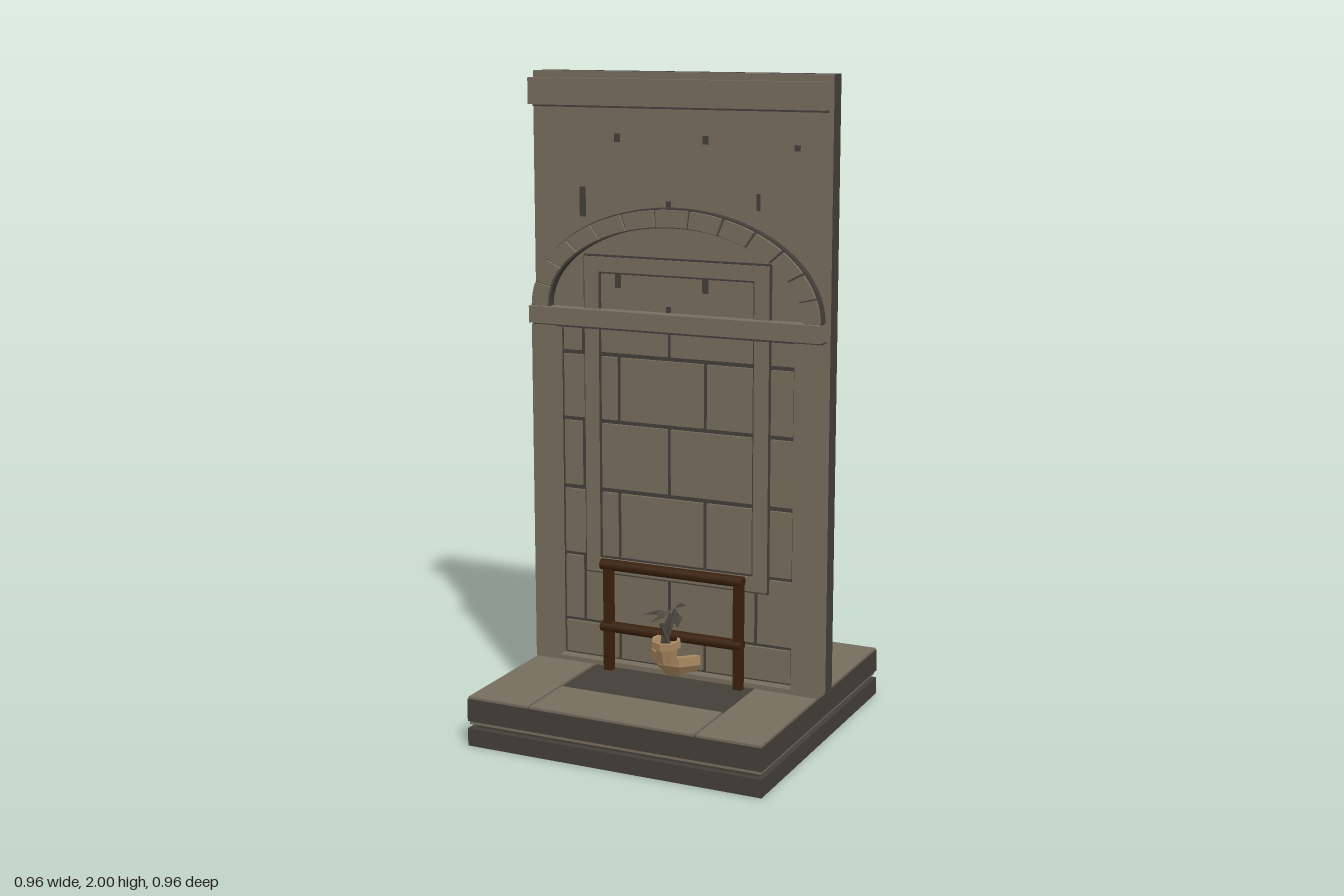
import * as THREE from 'three';

const mat = (name, color, extra = {}) => {
  const m = new THREE.MeshStandardMaterial({ color, ...extra });
  m.name = name;
  return m;
};

export function createModel() {
  const root = new THREE.Group();
  root.name = 'archedWallDisplay';
  const stone = mat('stone', 0x766d5c);
  const dark = mat('darkMortar', 0x433e38);
  const wood = mat('wood', 0x3a200c);
  const clay = mat('clay', 0xa98860, { flatShading: true });
  const leafMat = mat('leaf', 0x454239, { flatShading: true, side: THREE.DoubleSide });

  const add = (name, geo, material, parent = root) => {
    const m = new THREE.Mesh(geo, material);
    m.name = name;
    parent.add(m);
    return m;
  };
  // Box given by its limits on each axis
  const box = (name, material, x0, x1, y0, y1, z0, z1, parent) => {
    const m = add(name, new THREE.BoxGeometry(x1 - x0, y1 - y0, z1 - z0), material, parent);
    m.position.set((x0 + x1) / 2, (y0 + y1) / 2, (z0 + z1) / 2);
    return m;
  };

  // Plinth: two dark slabs separated by a recessed seam, with paving on top
  box('lowerSlab', dark, -0.48, 0.48, 0, 0.055, -0.48, 0.48);
  box('seam', dark, -0.46, 0.46, 0.055, 0.07, -0.46, 0.46);
  box('seamTrim', stone, -0.475, 0.475, 0.068, 0.078, -0.475, 0.475);
  box('upperSlab', dark, -0.48, 0.48, 0.078, 0.148, -0.48, 0.48);
  for (const s of [-1, 1]) {
    const a = s * 0.376, b = s * 0.3765;
    box('sidePaving', stone, a - 0.101, a + 0.101, 0.148, 0.155, -0.477, 0.477);
    box('endPaving', stone, -0.267, 0.267, 0.148, 0.155, b - 0.1005, b + 0.1005);
  }

  // Wall: dark backing, stone layer and the raised panel behind
  box('wallBack', dark, -0.48, 0.48, 0.15, 2, -0.07, -0.015);
  box('wallCore', stone, -0.48, 0.48, 0.15, 2, -0.015, 0.012);
  box('mortar', dark, -0.4, 0.4, 0.155, 1.29, 0.012, 0.015);
  box('backPanel', dark, -0.28, 0.28, 0.48, 1.41, -0.08, -0.07);
  box('plaster', stone, -0.48, 0.48, 1.285, 2, 0.012, 0.023);
  box('topBeam', stone, -0.48, 0.48, 1.9, 1.98, 0.023, 0.058);
  box('topBeamShadowLine', dark, -0.48, 0.48, 1.893, 1.9, 0.023, 0.027);
  box('skirting', stone, -0.48, 0.48, 0.155, 0.17, 0.012, 0.05);

  // Running-bond blocks
  const rows = [[0.178, 0.28], [0.292, 0.495], [0.507, 0.71], [0.725, 0.928], [0.942, 1.138], [1.152, 1.285]];
  rows.forEach(([y0, y1], r) => {
    const joints = r % 2 ? [-0.39, -0.318, -0.025, 0.265, 0.39] : [-0.39, -0.195, 0.095, 0.385];
    for (let i = 0; i < joints.length - 1; i++) {
      box('block', stone, joints[i] + 0.007, joints[i + 1] - 0.007, y0, y1, 0.015, 0.025);
    }
  });

  // Exposed joints in the plaster
  for (const [x, y, w, h] of [
    [-0.195, 1.805, 0.018, 0.025], [0.095, 1.805, 0.018, 0.025], [0.385, 1.79, 0.018, 0.018],
    [-0.313, 1.61, 0.02, 0.09], [-0.025, 1.612, 0.015, 0.02], [0.265, 1.63, 0.012, 0.05],
    [-0.195, 1.375, 0.02, 0.045], [0.095, 1.375, 0.02, 0.045], [-0.025, 1.295, 0.015, 0.02],
  ]) box('exposedJoint', dark, x - w / 2, x + w / 2, y - h / 2, y + h / 2, 0.022, 0.025);

  // Rectangular moulding around the blocks, edged by a dark reveal
  const frame = (name, material, hw, y0, y1, t, z) => {
    const s = new THREE.Shape([[-hw, y0], [hw, y0], [hw, y1], [-hw, y1]].map(p => new THREE.Vector2(...p)));
    const w = hw - t;
    s.holes.push(new THREE.Path([[-w, y0 + t], [-w, y1 - t], [w, y1 - t], [w, y0 + t]].map(p => new THREE.Vector2(...p))));
    add(name, new THREE.ExtrudeGeometry(s, { depth: z - 0.012, bevelEnabled: false }), material).position.z = 0.012;
  };
  frame('frameReveal', dark, 0.31, 0.45, 1.452, 0.057, 0.029);
  frame('frame', stone, 0.304, 0.456, 1.446, 0.045, 0.036);

  // Pilasters and lintel
  for (const s of [-1, 1]) {
    const x = s * 0.437;
    box('pilaster', stone, x - 0.043, x + 0.043, 0.155, 1.228, 0.012, 0.052);
  }
  box('lintelShadow', dark, -0.478, 0.478, 1.226, 1.236, 0.012, 0.05);
  box('lintel', stone, -0.48, 0.48, 1.235, 1.287, 0.012, 0.07);

  // Elliptical arch of separate wedge stones
  const at = (a, rx, ry) => new THREE.Vector2(Math.cos(a) * rx, 1.287 + Math.sin(a) * ry);
  const ring = (name, material, a0, a1, inset, z) => {
    const pts = [], n = 4;
    for (let i = 0; i <= n; i++) pts.push(at(a0 + (a1 - a0) * i / n, 0.478 - inset, 0.317 - inset));
    for (let i = n; i >= 0; i--) pts.push(at(a0 + (a1 - a0) * i / n, 0.418 + inset, 0.258 + inset));
    add(name, new THREE.ExtrudeGeometry(new THREE.Shape(pts), { depth: z - 0.02, bevelEnabled: false }), material).position.z = 0.02;
  };
  const count = 13, step = Math.PI / count;
  for (let i = 0; i < count; i++) {
    ring('archMortar', dark, i * step, (i + 1) * step, 0, 0.05);
    ring('archStone', stone, i * step + 0.009, (i + 1) * step - 0.009, 0.004, 0.062);
  }

  // Wooden rail on both faces of the wall
  for (const [z, r] of [[0.06, 0.017], [-0.067, 0.012]]) {
    const rail = new THREE.Group();
    rail.name = 'woodenRail';
    root.add(rail);
    for (const x of [-0.215, 0.225]) box('railPost', wood, x - 0.014, x + 0.014, 0.15, 0.5, z - r * 0.7, z + r * 0.7, rail);
    for (const y of [0.29, 0.49]) {
      const bar = add('railBar', new THREE.CylinderGeometry(r, r, 0.48, 10), wood, rail);
      bar.rotation.z = Math.PI / 2;
      bar.position.set(0, y, z);
    }
  }

  // Wide bowl passing through the wall and a small tilted pot in front
  const lathe = pts => new THREE.LatheGeometry(pts.map(p => new THREE.Vector2(...p)), 8);
  const bowl = add('bowl', lathe([[0, 0], [0.06, 0], [0.09, 0.04], [0.09, 0.07], [0.07, 0.07], [0.06, 0.05], [0, 0.05]]), clay);
  bowl.position.set(0, 0.156, -0.005);
  bowl.rotation.y = Math.PI / 8;
  const pot = add('pot', lathe([[0, 0], [0.03, 0], [0.038, 0.05], [0.047, 0.052], [0.046, 0.075], [0.036, 0.075], [0.03, 0.055], [0, 0.055]]), clay);
  pot.position.set(0, 0.215, 0.087);
  pot.rotation.x = 0.12;

  // Plant: stems and folded pointed leaves reaching out on both sides
  const plant = new THREE.Group();
  plant.name = 'plant';
  root.add(plant);
  const stem = (...pts) => add('stem', new THREE.TubeGeometry(
    new THREE.CatmullRomCurve3(pts.map(p => new THREE.Vector3(...p))), 6, 0.007, 5), leafMat, plant);
  stem([0, 0.27, 0.095], [0.01, 0.32, 0.09], [0.02, 0.38, 0.07]);
  stem([-0.015, 0.27, 0.09], [-0.01, 0.32, 0.08], [0, 0.36, 0.06]);
  stem([0.015, 0.27, 0.1], [0, 0.31, 0.105], [-0.01, 0.34, 0.11]);
  const leaf = (from, to, width) => {
    const a = new THREE.Vector3(...from), b = new THREE.Vector3(...to);
    const mid = a.clone().lerp(b, 0.45);
    const side = b.clone().sub(a).cross(new THREE.Vector3(0, 1, 0)).setLength(width);
    const l = mid.clone().add(side), r = mid.clone().sub(side);
    mid.y += 0.012;
    const g = new THREE.BufferGeometry().setFromPoints([a, l, mid, l, b, mid, b, r, mid, r, a, mid]);
    g.computeVertexNormals();
    add('leaf', g, leafMat, plant);
  };
  leaf([0.01, 0.37, 0.05], [0.055, 0.34, 0.13], 0.018);
  leaf([0, 0.36, 0.05], [-0.09, 0.35, 0.075], 0.02);
  leaf([0, 0.37, 0.05], [-0.05, 0.335, 0.105], 0.018);
  leaf([0.01, 0.38, 0.05], [0.06, 0.395, 0.07], 0.018);
  leaf([0, 0.37, -0.05], [-0.005, 0.365, -0.123], 0.03);
  leaf([-0.02, 0.365, -0.05], [-0.095, 0.37, -0.105], 0.018);
  leaf([0.02, 0.365, -0.05], [0.062, 0.375, -0.088], 0.016);

  return root;
}
